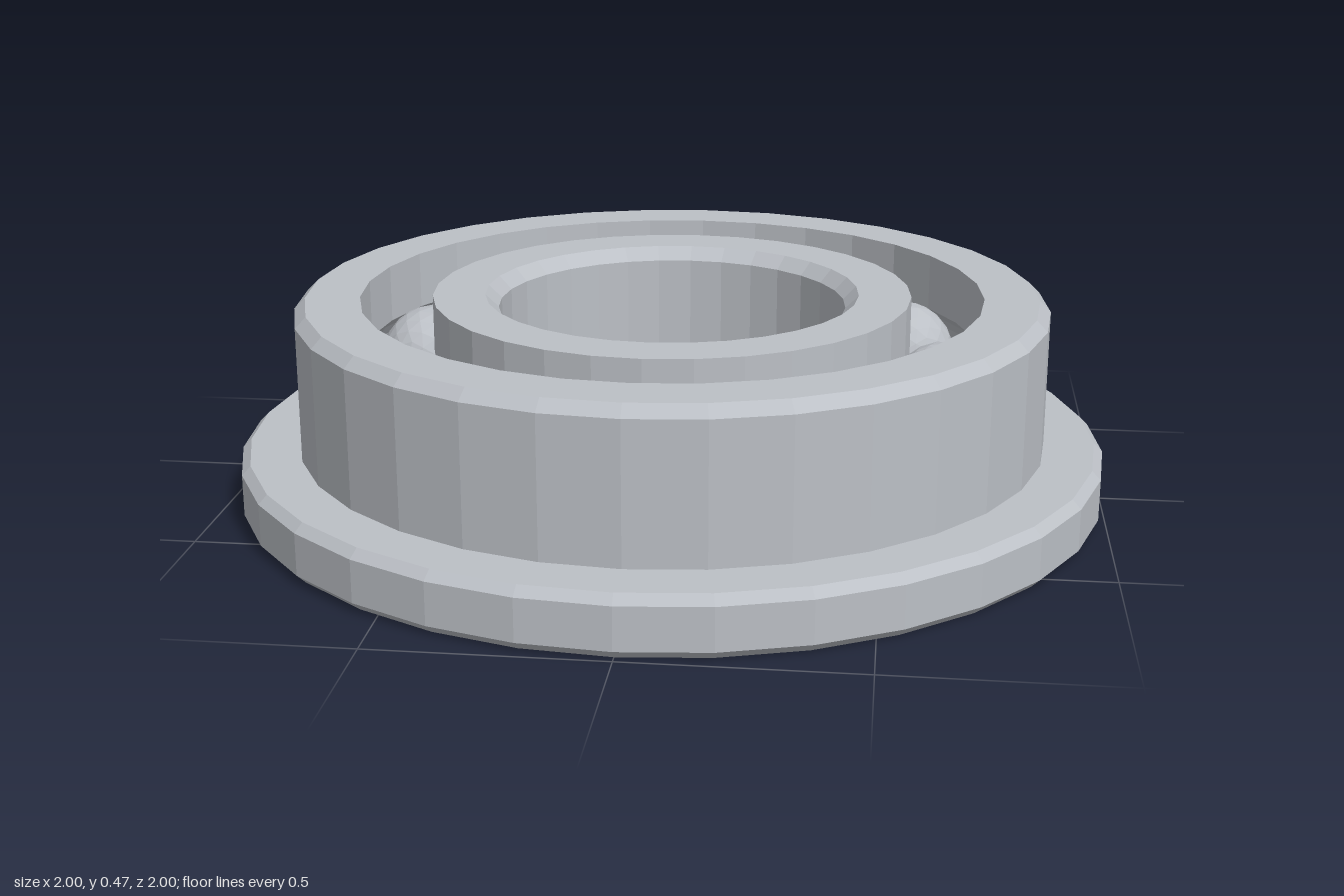
import * as THREE from 'three';

const SEGMENTS = 32;
const HEIGHT = 0.47;
const MID = HEIGHT / 2;
const BALL_COUNT = 11;
const BALL_RADIUS = 0.128;
const PITCH_RADIUS = 0.633; // circle on which the ball centres sit
const GROOVE_RADIUS = 0.13;

// Arc points of a raceway groove cut into a wall of the given radius
function groove(wallRadius, goingUp, steps = 8) {
  const dx = wallRadius - PITCH_RADIUS;
  const half = Math.acos(Math.abs(dx) / GROOVE_RADIUS);
  const points = [];
  for (let i = 0; i <= steps; i++) {
    const a = (goingUp ? 1 : -1) * half * ((2 * i) / steps - 1);
    points.push([
      PITCH_RADIUS + Math.sign(dx) * GROOVE_RADIUS * Math.cos(a),
      MID + GROOVE_RADIUS * Math.sin(a),
    ]);
  }
  return points;
}

// Faceted ring turned from a closed, counter-clockwise profile of [radius, y]
function ring(name, profile, material) {
  const points = [...profile, profile[0]].map(([r, y]) => new THREE.Vector2(r, y));
  const geometry = new THREE.LatheGeometry(points, SEGMENTS).toNonIndexed();
  geometry.computeVertexNormals();
  const mesh = new THREE.Mesh(geometry, material);
  mesh.name = name;
  return mesh;
}

export function createModel() {
  const model = new THREE.Group();
  model.name = 'flangedBallBearing';
  const steel = new THREE.MeshStandardMaterial({ color: 0xbcc0c6, flatShading: true });
  steel.name = 'steel';

  // Outer ring: chamfered flange, chamfered body, raceway on the inner wall
  model.add(ring('outerRing', [
    [0.715, 0], [0.98, 0], [1, 0.02], [1, 0.115], [0.98, 0.135],
    [0.865, 0.135], [0.865, 0.445], [0.84, HEIGHT], [0.715, HEIGHT],
    ...groove(0.715, false),
  ], steel));

  // Inner ring: raceway on the outer wall, chamfered bore
  model.add(ring('innerRing', [
    [0.43, 0], [0.55, 0], ...groove(0.55, true), [0.55, HEIGHT],
    [0.43, HEIGHT], [0.4, HEIGHT - 0.03], [0.4, 0.03],
  ], steel));

  // Balls spaced evenly between the rings
  const balls = new THREE.Group();
  balls.name = 'balls';
  const ballGeometry = new THREE.IcosahedronGeometry(BALL_RADIUS, 3);
  ballGeometry.computeVertexNormals();
  for (let i = 0; i < BALL_COUNT; i++) {
    const a = (i / BALL_COUNT) * Math.PI * 2;
    const ball = new THREE.Mesh(ballGeometry, steel);
    ball.name = 'ball';
    ball.position.set(PITCH_RADIUS * Math.cos(a), MID, PITCH_RADIUS * Math.sin(a));
    ball.rotation.y = -a;
    balls.add(ball);
  }
  model.add(balls);
  return model;
}
